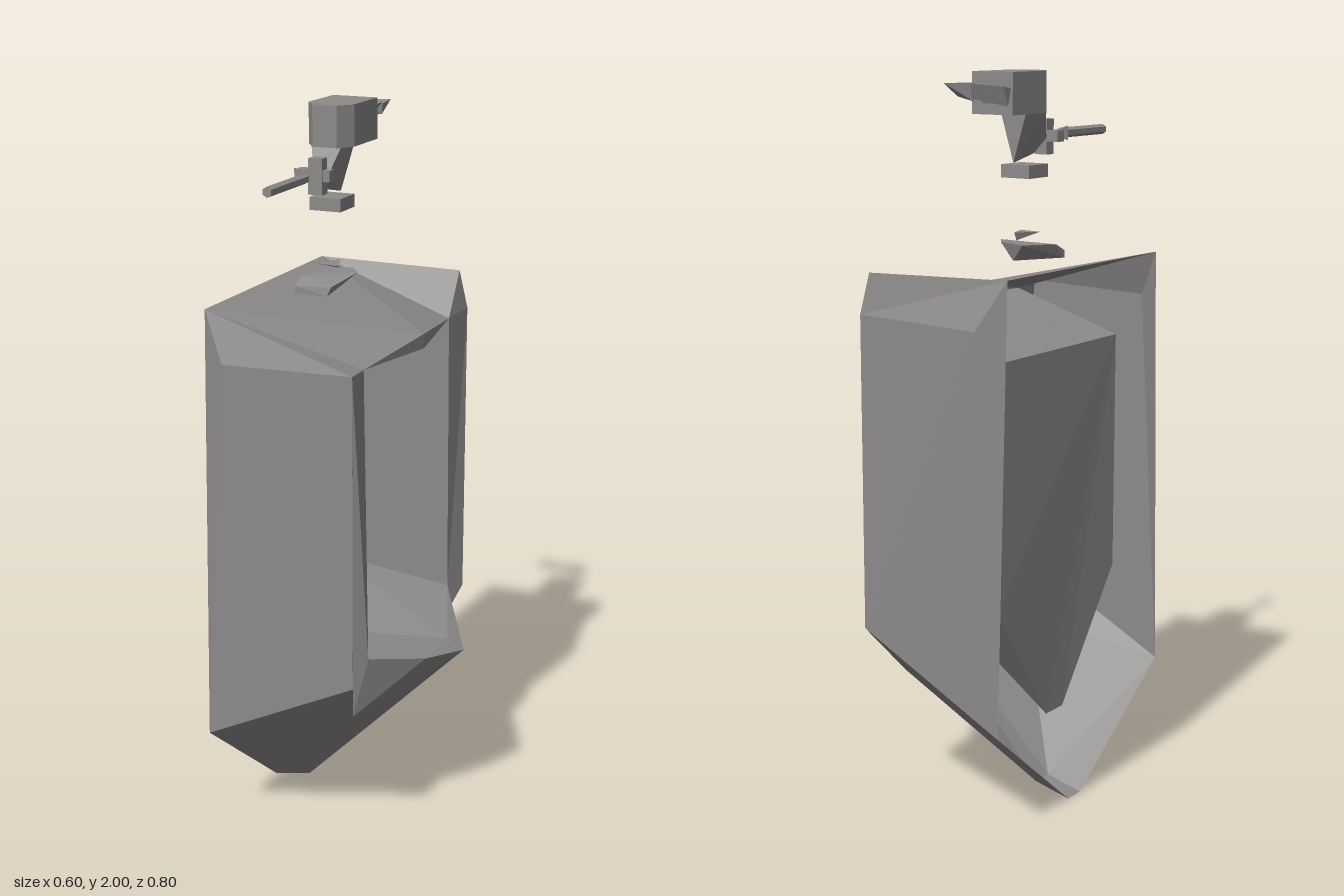
import * as THREE from 'three';
import { ConvexGeometry } from 'three/addons/geometries/ConvexGeometry.js';

const grey = new THREE.MeshStandardMaterial({ color: 0x8c8989, flatShading: true, side: THREE.DoubleSide });
grey.name = 'warmGrey';

function add(group, name, geometry) {
  const mesh = new THREE.Mesh(geometry, grey);
  mesh.name = name;
  group.add(mesh);
  return mesh;
}

// Each face is a list of corner points, split as a fan
function faces(list) {
  const pos = [];
  for (const f of list)
    for (let i = 1; i < f.length - 1; i++) pos.push(...f[0], ...f[i], ...f[i + 1]);
  const g = new THREE.BufferGeometry();
  g.setAttribute('position', new THREE.Float32BufferAttribute(pos, 3));
  g.computeVertexNormals();
  return g;
}

const hull = (...pts) => new ConvexGeometry(pts.map(p => new THREE.Vector3(...p)));

// Box from its minimum and maximum corners
function box(a, b) {
  const g = new THREE.BoxGeometry(b[0] - a[0], b[1] - a[1], b[2] - a[2]);
  return g.translate((a[0] + b[0]) / 2, (a[1] + b[1]) / 2, (a[2] + b[2]) / 2);
}

// Corner points of one half of the basin; s mirrors across z
const half = s => ({
  backTop: [-0.3, 1.5, 0.355 * s],
  shoulder: [-0.23, 1.37, 0.4 * s],
  backLow: [-0.3, 0.3, 0.395 * s],
  frontTop: [0.14, 1.38, 0.4 * s],
  frontLow: [0.14, 0.52, 0.4 * s],
  hood: [0.125, 1.37, 0.295 * s],
  rim: [0.135, 0.56, 0.288 * s],
  chin: [0.09, 0.38, 0.29 * s],
  toeFront: [-0.17, 0.025, 0.03 * s],
  toeBack: [-0.28, 0, 0.03 * s],
  wallTop: [-0.22, 1.27, 0.28 * s],
  wallLow: [-0.22, 0.6, 0.28 * s],
  drain: [-0.21, 0.24, 0.04 * s],
});

export function createModel() {
  const root = new THREE.Group();
  root.name = 'wallUrinal';

  const basin = new THREE.Group();
  basin.name = 'basin';
  root.add(basin);
  const L = half(1), R = half(-1);
  const lip = [0.3, 0.5, 0], lipIn = [0.25, 0.525, 0];
  const hoodTip = [0.17, 1.4, 0], hoodUnder = [0.17, 1.36, 0];
  const bulge = [0.245, 0.525, 0.15], ear = [0.12, 1.49, -0.385];

  // Outer sides, front stiles and lower flanks
  for (const [h, side] of [[L, 'left'], [R, 'right']]) {
    add(basin, side + 'Side', faces([
      [h.backTop, h.shoulder, h.backLow],
      [h.shoulder, h.frontTop, h.frontLow, h.backLow],
    ]));
    add(basin, side + 'Stile', faces([[h.frontTop, h.hood, h.rim, h.chin, h.frontLow]]));
    add(basin, side + 'Flank', faces([
      [h.backLow, h.frontLow, h.chin],
      [h.backLow, h.chin, h.toeFront, h.toeBack],
      [h.chin, lip, h.toeFront],
    ]));
    // Recess wall and sloping floor
    add(basin, side + 'RecessWall', faces([
      [h.hood, h.wallTop, h.wallLow, h.rim],
      [h.wallLow, h.drain, lipIn],
      [h.wallLow, lipIn, h.rim],
    ]));
  }

  // Shoulders: one plain, one with a raised ear and groove
  add(basin, 'shoulders', faces([
    [L.backTop, L.shoulder, L.frontTop, L.hood],
    [R.backTop, R.shoulder, R.frontTop, ear],
    [R.backTop, ear, R.hood],
    [ear, R.frontTop, R.hood],
  ]));

  // Hood over the recess
  add(basin, 'hood', faces([
    [L.backTop, L.hood, hoodTip],
    [L.backTop, hoodTip, R.backTop],
    [R.backTop, hoodTip, R.hood],
    [L.hood, hoodUnder, hoodTip],
    [R.hood, hoodTip, hoodUnder],
    [hoodUnder, L.hood, L.wallTop],
    [hoodUnder, L.wallTop, R.wallTop],
    [hoodUnder, R.wallTop, R.hood],
  ]));

  add(basin, 'recessBack', faces([
    [L.wallTop, R.wallTop, R.wallLow, R.drain, L.drain, L.wallLow],
    [L.drain, R.drain, lipIn],
  ]));

  // Pointed lip and narrow keel below it
  add(basin, 'lip', faces([
    [L.chin, lip, bulge],
    [L.chin, bulge, L.rim],
    [L.rim, bulge, lipIn],
    [bulge, lip, lipIn],
    [R.chin, R.rim, lip],
    [R.rim, lipIn, lip],
  ]));
  add(basin, 'keel', faces([
    [L.toeFront, R.toeFront, lip],
    [L.toeFront, L.toeBack, R.toeBack, R.toeFront],
  ]));

  // Flush valve floating above the basin
  const valve = new THREE.Group();
  valve.name = 'flushValve';
  root.add(valve);
  const body = [];
  for (const y of [1.89, 2])
    for (const [x, z] of [[-0.155, -0.13], [-0.025, -0.13], [-0.157, 0.02], [-0.025, 0.02], [-0.125, 0.065], [-0.055, 0.065]])
      body.push([x, y, z]);
  add(valve, 'valveBody', hull(...body));
  add(valve, 'valveNeck', hull(
    [-0.135, 1.89, 0.05], [-0.05, 1.89, 0.05], [-0.13, 1.89, -0.035], [-0.05, 1.89, -0.035],
    [-0.11, 1.82, 0.09], [-0.07, 1.82, 0.09], [-0.09, 1.76, -0.035], [-0.09, 1.78, 0.06]));
  add(valve, 'outletCollar', box([-0.14, 1.72, -0.035], [-0.05, 1.755, 0.055]));

  // Handle with its flange and pivot
  add(valve, 'handleFlange', box([-0.145, 1.81, 0.092], [-0.05, 1.84, 0.122]));
  add(valve, 'handleFlangeUpright', box([-0.11, 1.775, 0.092], [-0.07, 1.87, 0.125]));
  add(valve, 'handlePivot', hull(
    [-0.13, 1.85, 0.165], [-0.13, 1.81, 0.165], [-0.06, 1.83, 0.165], [-0.1, 1.83, 0.125]));
  const rod = new THREE.CylinderGeometry(0.014, 0.014, 0.215, 6);
  rod.rotateX(Math.PI / 2).translate(-0.09, 1.828, 0.2925);
  add(valve, 'handleRod', rod);

  // Bent supply pipe behind the valve
  add(valve, 'pipeTip', hull(
    [-0.105, 1.92, -0.157], [-0.078, 1.92, -0.157], [-0.09, 1.975, -0.157], [-0.09, 1.95, -0.17]));
  add(valve, 'pipeElbow', hull(
    [-0.09, 1.955, -0.175], [-0.125, 1.975, -0.24], [-0.055, 1.975, -0.235], [-0.09, 1.935, -0.235]));
  add(valve, 'pipeInner', hull(
    [-0.055, 1.97, -0.235], [-0.055, 1.975, -0.29], [-0.125, 1.975, -0.24], [-0.125, 1.975, -0.27],
    [-0.06, 1.94, -0.24], [-0.125, 1.93, -0.26]));
  add(valve, 'pipeOuter', hull(
    [-0.125, 1.975, -0.24], [-0.125, 1.975, -0.27], [-0.125, 1.935, -0.255],
    [-0.24, 1.97, -0.29], [-0.24, 1.965, -0.258], [-0.24, 1.92, -0.27]));

  // Inlet spreader on top of the basin
  add(root, 'inletSpreader', hull(
    [-0.165, 1.5, 0.1], [-0.165, 1.52, 0.1], [-0.165, 1.54, 0.06], [-0.07, 1.5, 0.1], [-0.06, 1.525, 0.095],
    [-0.025, 1.55, 0], [-0.06, 1.55, -0.05], [-0.13, 1.545, -0.05], [-0.09, 1.5, -0.035]));
  add(root, 'inletCap', hull(
    [-0.125, 1.573, 0.04], [-0.055, 1.573, 0.05], [-0.09, 1.575, -0.03], [-0.09, 1.553, -0.02]));

  return root;
}
